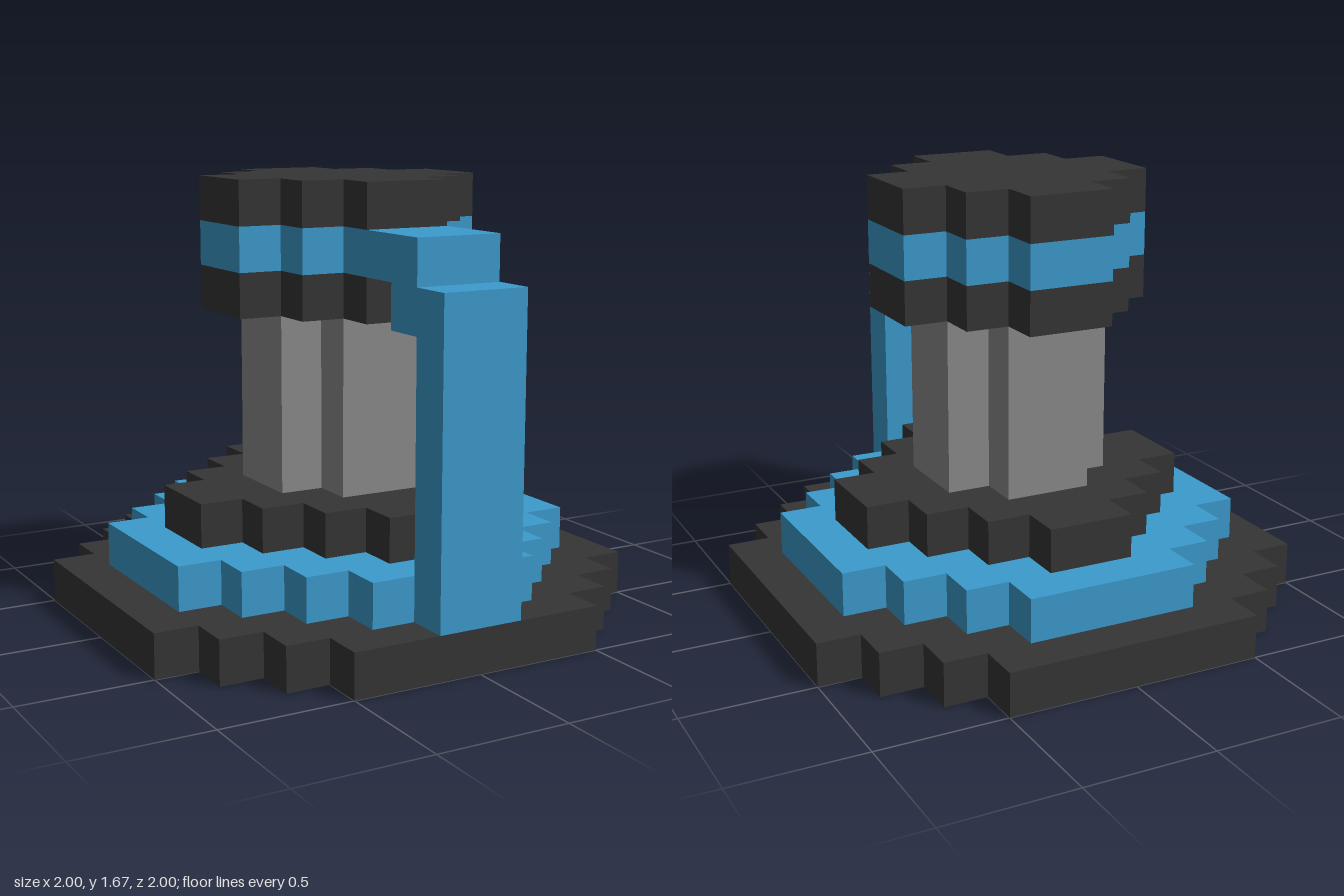
import * as THREE from 'three';

const U = 1 / 6; // one block

const material = (name, color) => {
  const m = new THREE.MeshStandardMaterial({ color });
  m.name = name;
  return m;
};

// Outline of a blocky disc: a one-block staircase from (a, b) to (b, a), mirrored to all quadrants
function steppedDisc(a, b) {
  const quarter = [];
  for (let x = b, z = a; x >= a; x--, z++) {
    quarter.push([x, z]);
    if (x > a) quarter.push([x - 1, z]);
  }
  const flipped = [...quarter].reverse();
  const outline = [
    ...quarter,
    ...flipped.map(([x, z]) => [-x, z]),
    ...quarter.map(([x, z]) => [-x, -z]),
    ...flipped.map(([x, z]) => [x, -z]),
  ];
  return new THREE.Shape(outline.map(([x, z]) => new THREE.Vector2(x * U, z * U)));
}

export function createModel() {
  const group = new THREE.Group();
  group.name = 'pedestal';
  const dark = material('charcoal', 0x353535);
  const blue = material('blue', 0x3c9bcd);
  const grey = material('grey', 0x8b8b8b);

  // Stacked layers: name, material, bottom and top in blocks, staircase start and end
  const layers = [
    ['base', dark, 0, 1, 3, 6],
    ['baseRing', blue, 1, 2, 2, 5],
    ['upperStep', dark, 2, 3, 1, 4],
    ['column', grey, 3, 7, 1, 2],
    ['headBottom', dark, 7, 8, 1, 3],
    ['headBand', blue, 8, 9, 1, 3],
    ['headTop', dark, 9, 10, 1, 3],
  ];
  for (const [name, mat, y0, y1, a, b] of layers) {
    const geo = new THREE.ExtrudeGeometry(steppedDisc(a, b), {
      depth: (y1 - y0) * U, bevelEnabled: false,
    });
    geo.rotateX(-Math.PI / 2).translate(0, y0 * U, 0);
    const mesh = new THREE.Mesh(geo, mat);
    mesh.name = name;
    group.add(mesh);
  }

  // Front handle: side profile (z, y) extruded across x
  const profile = [[3, 8], [4, 8], [4, 7], [5, 7], [5, 1], [6, 1], [6, 8], [5, 8], [5, 9], [3, 9]];
  const handleShape = new THREE.Shape(profile.map(([z, y]) => new THREE.Vector2(z * U, y * U)));
  const handleGeo = new THREE.ExtrudeGeometry(handleShape, { depth: 2 * U, bevelEnabled: false });
  handleGeo.translate(0, 0, -U).rotateY(-Math.PI / 2);
  const handle = new THREE.Mesh(handleGeo, blue);
  handle.name = 'handle';
  group.add(handle);

  return group;
}
